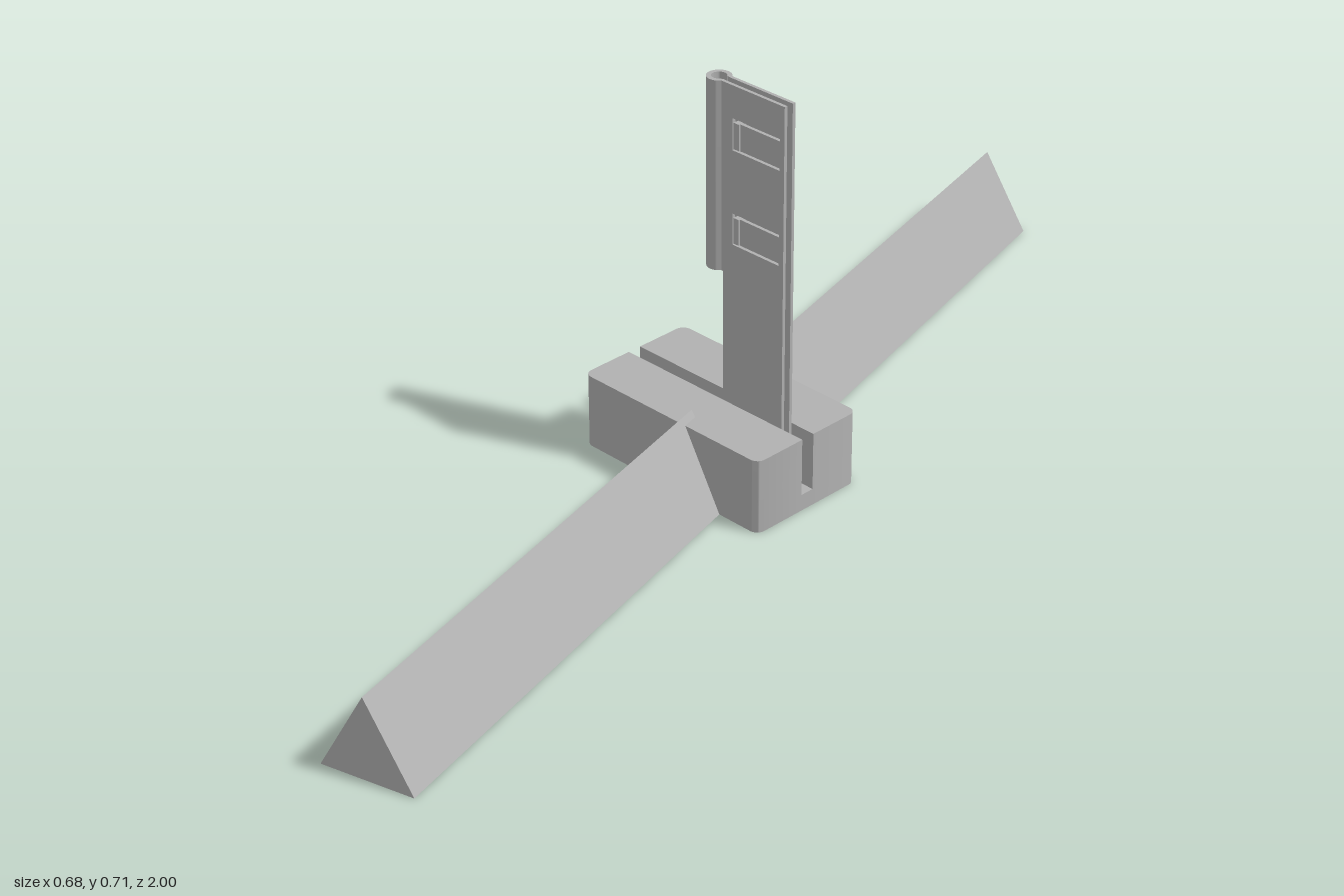
import * as THREE from 'three';
import { toCreasedNormals } from 'three/addons/utils/BufferGeometryUtils.js';

const HUB = { x: 0.203, z: 0.116, top: 0.135, floor: 0.03, r: 0.016 };
const SLOT = 0.013;                       // half width of the hub slot
const SHEET = { inner: 0.006, outer: 0.012, x0: 0.021, x1: 0.155, neck: 0.375, top: 0.712 };

const poly = pts => new THREE.Shape(pts.map(p => new THREE.Vector2(...p)));
const rect = (x0, y0, x1, y1) => poly([[x0, y0], [x1, y0], [x1, y1], [x0, y1]]);

// Extrude along +z from z0 to z1
function extrude(shape, z0, z1) {
  const g = new THREE.ExtrudeGeometry(shape, { depth: z1 - z0, bevelEnabled: false, curveSegments: 20 });
  return g.translate(0, 0, z0);
}
// Extrude a plan drawing upward from y0 to y1
const extrudeUp = (shape, y0, y1) => toCreasedNormals(extrude(shape, y0, y1).rotateX(-Math.PI / 2), 0.6);

export function createModel() {
  const model = new THREE.Group();
  const grey = new THREE.MeshStandardMaterial({ color: 0xb0b0b0 });
  grey.name = 'plain grey';
  const add = (name, geometry, parent = model) => {
    const mesh = new THREE.Mesh(geometry, grey);
    mesh.name = name;
    parent.add(mesh);
    return mesh;
  };

  // Hub: two round-cornered halves joined by a slot floor
  const { x: hx, z: hz, r } = HUB;
  const half = new THREE.Shape();
  half.moveTo(-hx, SLOT);
  half.lineTo(hx, SLOT);
  half.lineTo(hx, hz - r);
  half.absarc(hx - r, hz - r, r, 0, Math.PI / 2);
  half.lineTo(-hx + r, hz);
  half.absarc(-hx + r, hz - r, r, Math.PI / 2, Math.PI);
  half.closePath();
  const hub = new THREE.Group();
  hub.name = 'hub';
  model.add(hub);
  add('hubBackHalf', extrudeUp(half, 0, HUB.top), hub);
  add('hubFrontHalf', extrudeUp(half, 0, HUB.top), hub).rotation.y = Math.PI;
  add('slotFloor', new THREE.BoxGeometry(2 * hx, HUB.floor, 2 * SLOT).translate(0, HUB.floor / 2, 0), hub);

  // Two triangular feet, turned 15 degrees
  const wedge = poly([[-0.0825, 0], [0.0825, 0], [0, 0.147]]);
  [['frontFoot', 0], ['backFoot', Math.PI]].forEach(([name, turn]) => {
    add(name, extrude(wedge, 0.09, 1.013)).rotation.y = Math.PI / 12 + turn;
  });

  // Upright: a pair of thin sheets standing in the slot
  const upright = new THREE.Group();
  upright.name = 'upright';
  model.add(upright);
  const outline = () => poly([
    [SHEET.x0, HUB.floor], [SHEET.x1, HUB.floor], [SHEET.x1, SHEET.top],
    [0.014, SHEET.top], [0.014, SHEET.neck], [SHEET.x0, SHEET.neck],
  ]);
  add('backSheet', extrude(outline(), -SHEET.outer, -SHEET.inner), upright);

  // Front sheet with two spring clips cut out by C-shaped slits
  const front = outline();
  [0.459, 0.627].forEach(y => {
    const a = 0.028, b = 0.023;           // outer and inner half heights of the slit
    front.holes.push(poly([
      [0.042, y - a], [0.145, y - a], [0.145, y - b], [0.047, y - b],
      [0.047, y + b], [0.145, y + b], [0.145, y + a], [0.042, y + a],
    ]));
    // hook at the free end of the clip
    add('clipHook', extrude(rect(0.047, y - b, 0.059, y + b), -0.002, SHEET.outer + 0.003), upright);
  });
  add('frontSheet', extrude(front, SHEET.inner, SHEET.outer), upright);

  // Rolled tube along the upper edge, open toward the sheets
  const roll = new THREE.Shape();
  roll.absarc(0, 0, 0.021, 0.6, 2 * Math.PI - 0.6, false);
  roll.absarc(0, 0, 0.013, 2 * Math.PI - 0.48, 0.48, true);
  roll.closePath();
  add('edgeTube', extrudeUp(roll, SHEET.neck, SHEET.top), upright);

  return model;
}
